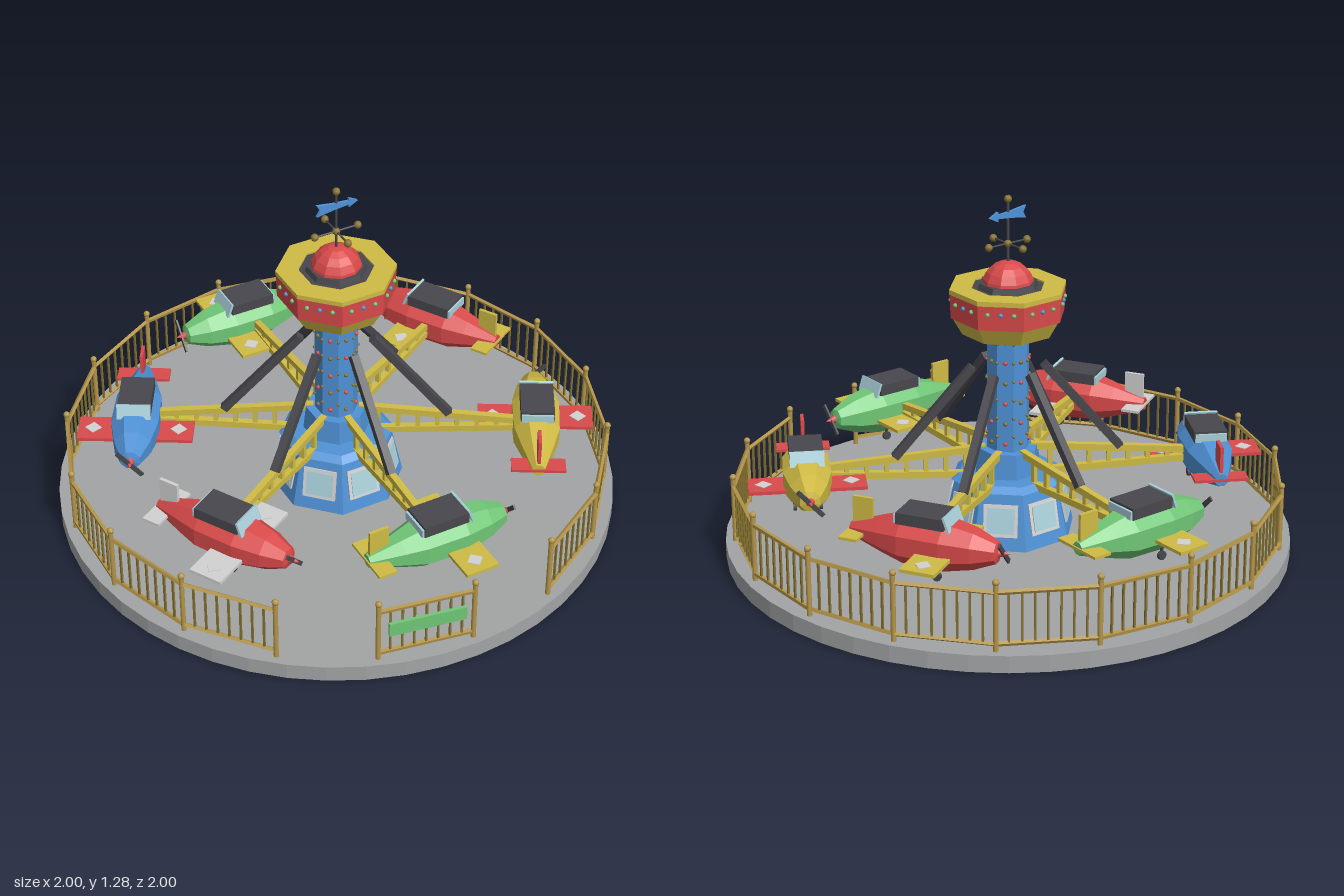
import * as THREE from 'three';

const mat = (name, color, side = THREE.FrontSide) => {
  const m = new THREE.MeshStandardMaterial({ color, side });
  m.name = name;
  return m;
};
const M = {
  grey: mat('platformGrey', 0xa2a4a5), blue: mat('blue', 0x4f92d6), red: mat('red', 0xd94a4a),
  yellow: mat('yellow', 0xd0bb45), green: mat('green', 0x70c676), brass: mat('brass', 0xb5964a),
  bronze: mat('bronze', 0x85722f), dark: mat('dark', 0x48474d), white: mat('paleGrey', 0xd2d2d2),
  glass: mat('glass', 0xa9d0da),
};
const V = (x, y, z) => new THREE.Vector3(x, y, z);

// faceted normals
function flat(geo) {
  const g = geo.index ? geo.toNonIndexed() : geo;
  g.computeVertexNormals();
  return g;
}
function add(parent, name, geo, material, x = 0, y = 0, z = 0) {
  const m = new THREE.Mesh(geo, material);
  m.name = name;
  m.position.set(x, y, z);
  parent.add(m);
  return m;
}
function group(parent, name) {
  const g = new THREE.Group();
  g.name = name;
  parent.add(g);
  return g;
}
const box = (w, h, d) => new THREE.BoxGeometry(w, h, d);
const ball = (r) => new THREE.SphereGeometry(r, 8, 6);

// square or round bar between two points
function bar(parent, name, a, b, t, material, round = false) {
  const len = a.distanceTo(b);
  const geo = round ? new THREE.CylinderGeometry(t / 2, t / 2, len, 8) : box(t, len, t);
  const m = add(parent, name, geo, material);
  m.position.copy(a).add(b).multiplyScalar(0.5);
  m.quaternion.setFromUnitVectors(V(0, 1, 0), b.clone().sub(a).normalize());
  return m;
}
// octagonal frustum with a flat side to the front; sizes are half widths
const C8 = Math.cos(Math.PI / 8);
const octagon = (top, bottom, h) =>
  flat(new THREE.CylinderGeometry(top / C8, bottom / C8, h, 8, 1, false, Math.PI / 8));

function buildFence(root) {
  const fence = group(root, 'fence'), R = 0.965, step = Math.PI / 9;
  const at = (i, y) => V(Math.sin(i * step) * R, y, Math.cos(i * step) * R);
  for (let i = 0; i < 18; i++) {
    const p = at(i, 0);
    add(fence, 'fencePost', new THREE.CylinderGeometry(0.009, 0.009, 0.235, 8), M.brass, p.x, 0.1775, p.z);
    add(fence, 'postCap', ball(0.012), M.brass, p.x, 0.3, p.z);
    if (i === 0 || i === 16) continue; // entrance and exit openings
    const rail = (y) => bar(fence, 'rail', at(i, y), at(i + 1, y), 0.012, M.brass);
    rail(0.265);
    rail(0.085);
    for (let k = 1; k < 8; k++) {
      const q = at(i, 0.175).lerp(at(i + 1, 0.175), k / 8);
      add(fence, 'baluster', box(0.007, 0.18, 0.007), M.bronze, q.x, q.y, q.z).rotation.y = (i + 0.5) * step;
    }
  }
  // sign board hung outside the short panel beside the openings
  const sign = add(fence, 'signBoard', box(0.27, 0.052, 0.012), M.green, -0.17, 0.195, 0.953);
  sign.rotation.y = -0.5 * step;
}

function buildTower(root) {
  const tower = group(root, 'tower');
  add(tower, 'boothBase', octagon(0.18, 0.222, 0.2), M.blue, 0, 0.16, 0);
  add(tower, 'boothRoof', octagon(0.165, 0.19, 0.02), M.blue, 0, 0.27, 0);
  add(tower, 'armHub', octagon(0.1, 0.11, 0.1), M.blue, 0, 0.32, 0);
  add(tower, 'column', octagon(0.07, 0.07, 0.56), M.blue, 0, 0.54, 0);
  for (let i = 0; i < 8; i++) {
    const face = group(tower, 'towerSide');
    face.rotation.y = (i * Math.PI) / 4;
    // booth window
    const win = group(face, 'boothWindow');
    win.position.set(0, 0.165, 0.2);
    win.rotation.x = -Math.atan2(0.042, 0.2);
    add(win, 'windowFrame', box(0.12, 0.115, 0.008), M.white, 0, 0, 0.002);
    add(win, 'windowPane', box(0.096, 0.09, 0.008), M.glass, 0, 0, 0.005);
    // column and canopy lamps
    for (let k = 0; k < 6; k++)
      add(face, 'columnLamp', ball(0.008), (i + k) % 2 ? M.red : M.bronze, 0, 0.4 + k * 0.075, 0.072);
    for (let k = 0; k < 7; k++) {
      const corner = V(0.029, 0.36 + k * 0.068, 0.071);
      add(face, 'cornerLamp', ball(0.006), M.bronze, corner.x, corner.y, corner.z);
    }
    for (const x of [-0.045, 0, 0.045])
      add(face, 'canopyLamp', ball(0.008), x ? M.green : M.blue, x, 0.915, 0.192);
  }
  // canopy drum
  add(tower, 'canopySkirt', octagon(0.184, 0.15, 0.065), M.yellow, 0, 0.829, 0);
  add(tower, 'canopyWall', octagon(0.191, 0.188, 0.095), M.red, 0, 0.906, 0);
  const ring = [[0.12, 0.945], [0.192, 0.945], [0.192, 0.962], [0.12, 0.962], [0.12, 0.945]];
  add(tower, 'canopyTopRing',
    flat(new THREE.LatheGeometry(ring.map(([x, y]) => new THREE.Vector2(x / C8, y)), 8, Math.PI / 8)), M.yellow);
  add(tower, 'canopyWell', octagon(0.125, 0.125, 0.012), M.dark, 0, 0.95, 0);
  add(tower, 'domeCollar', octagon(0.094, 0.1, 0.02), M.dark, 0, 0.965, 0);
  add(tower, 'dome', flat(new THREE.SphereGeometry(0.092, 10, 5, 0, Math.PI * 2, 0, Math.PI / 2)), M.red, 0, 0.957, 0);

  // mast, cross of balls and wind vane
  const vane = group(tower, 'windVane');
  bar(vane, 'mast', V(0, 1.04, 0), V(0, 1.27, 0), 0.009, M.dark, true);
  add(vane, 'mastBall', ball(0.014), M.bronze, 0, 1.268, 0);
  add(vane, 'crossBall', ball(0.014), M.bronze, 0, 1.11, 0);
  for (const [x, z] of [[1, 0], [-1, 0], [0, 1], [0, -1]]) {
    bar(vane, 'crossArm', V(0, 1.11, 0), V(x * 0.08, 1.11, z * 0.08), 0.007, M.dark, true);
    add(vane, 'crossEndBall', ball(0.014), M.bronze, x * 0.082, 1.11, z * 0.082);
  }
  const arrow = new THREE.Shape([
    [-0.075, 0.022], [-0.062, 0], [-0.075, -0.022], [-0.01, -0.012], [0.045, -0.007], [0.045, -0.018],
    [0.08, 0], [0.045, 0.018], [0.045, 0.007], [-0.01, 0.012]].map(([x, y]) => new THREE.Vector2(x, y)));
  add(vane, 'vaneArrow', new THREE.ExtrudeGeometry(arrow, { depth: 0.01, bevelEnabled: false }), M.blue, 0, 1.212, -0.005);
}

// truss arm reaching along +z, with its hydraulic strut
function buildArm(parent) {
  const arm = group(parent, 'arm');
  const top = (t) => V(0, 0.365 - 0.045 * t, 0.08 + 0.56 * t);
  const low = (t) => V(0, 0.265 + 0.025 * t, 0.08 + 0.56 * t);
  for (const f of [top, low]) bar(arm, 'armBeam', f(0), f(1), 0.024, M.yellow);
  for (let k = 1; k < 8; k++) bar(arm, 'armTie', low(k / 8), top(k / 8), 0.016, M.yellow);
  bar(arm, 'strut', V(0, 0.67, 0.125), V(0, 0.345, 0.4), 0.028, M.dark);
}

// plane with its nose to +x
function buildPlane(parent, bodyMat, trimMat) {
  const plane = group(parent, 'plane');
  plane.position.set(0, 0.305, 0.71);
  const profile = [[0, -0.265], [0.022, -0.265], [0.058, -0.15], [0.08, -0.07], [0.084, 0.08],
    [0.064, 0.18], [0.035, 0.255], [0, 0.265]].map(([r, s]) => new THREE.Vector2(r / C8, s));
  const body = add(plane, 'fuselage', flat(new THREE.LatheGeometry(profile, 8, Math.PI / 8)), bodyMat);
  body.rotation.z = -Math.PI / 2;
  // wings, tail and diamonds
  add(plane, 'wing', box(0.122, 0.012, 0.41), trimMat, 0.06, -0.02, 0);
  for (const s of [-1, 1]) {
    for (const y of [-0.027, -0.013]) {
      const d = add(plane, 'wingDiamond', box(0.042, 0.003, 0.042), M.white, 0.06, y, s * 0.152);
      d.rotation.y = Math.PI / 4;
    }
    add(plane, 'wheelLeg', box(0.008, 0.035, 0.008), M.dark, 0.06, -0.085, s * 0.045);
    const wheel = add(plane, 'wheel', new THREE.CylinderGeometry(0.016, 0.016, 0.012, 10), M.dark, 0.06, -0.1, s * 0.045);
    wheel.rotation.x = Math.PI / 2;
  }
  add(plane, 'tailPlane', box(0.066, 0.01, 0.19), trimMat, -0.237, 0, 0);
  add(plane, 'tailFin', box(0.072, 0.115, 0.012), trimMat, -0.222, 0.06, 0);
  // cockpit and windscreen
  add(plane, 'cockpit', box(0.17, 0.04, 0.118), M.dark, 0.005, 0.088, 0);
  const screen = add(plane, 'windscreen', box(0.008, 0.055, 0.12), M.glass, 0.098, 0.09, 0);
  screen.rotation.z = 0.35;
  add(plane, 'rearScreen', box(0.008, 0.03, 0.112), M.glass, -0.085, 0.085, 0);
  // nose and propeller
  const spinner = add(plane, 'spinner', new THREE.ConeGeometry(0.016, 0.035, 8), M.red, 0.28, 0, 0);
  spinner.rotation.z = -Math.PI / 2;
  const blades = add(plane, 'propeller', box(0.007, 0.125, 0.016), M.dark, 0.277, 0, 0);
  blades.rotation.x = 0.75;
}

export function createModel() {
  const root = new THREE.Group();
  root.name = 'planeCarousel';
  add(root, 'platform', flat(new THREE.CylinderGeometry(1, 1, 0.06, 48)), M.grey, 0, 0.03, 0);
  buildFence(root);
  buildTower(root);
  // six rides, anticlockwise from the front
  const rides = [[M.green, M.yellow], [M.yellow, M.red], [M.red, M.yellow],
    [M.green, M.yellow], [M.blue, M.red], [M.red, M.white]];
  rides.forEach(([bodyMat, trimMat], i) => {
    const ride = group(root, 'ride');
    ride.rotation.y = (i * Math.PI) / 3;
    buildArm(ride);
    buildPlane(ride, bodyMat, trimMat);
  });
  return root;
}
